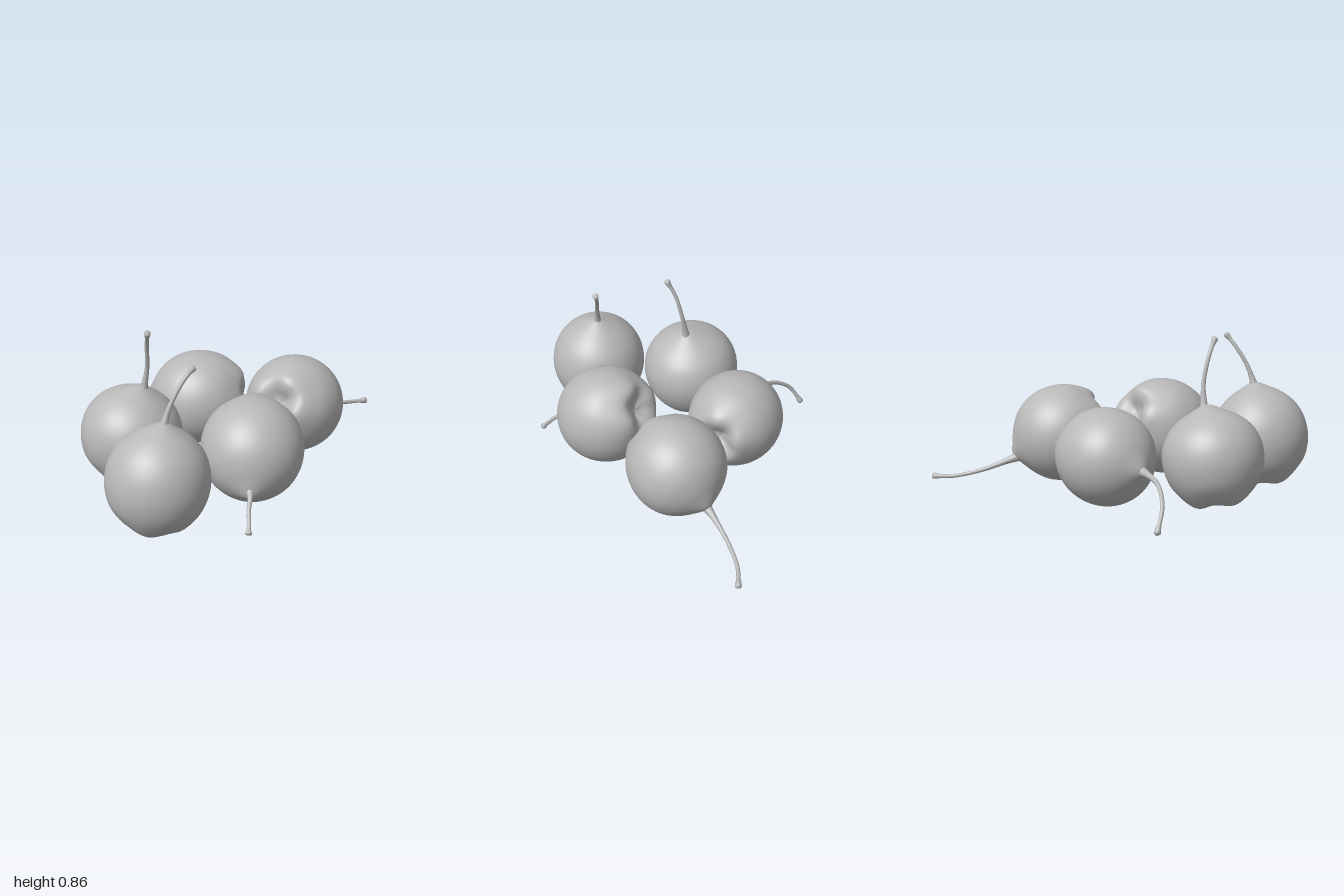
import * as THREE from 'three';
import { mergeVertices } from 'three/addons/utils/BufferGeometryUtils.js';

const V = (p) => new THREE.Vector3(...p);

// Body profile [radius, height] from the dimpled base to the stem end
const LOWER = [[0, -0.19], [0.035, -0.2], [0.08, -0.228], [0.125, -0.235], [0.17, -0.205], [0.225, -0.135], [0.253, -0.06]];
const UPPER = [[0.26, 0.015], [0.246, 0.095], [0.208, 0.17], [0.15, 0.227], [0.09, 0.264], [0.045, 0.288], [0.02, 0.3], [0, 0.303]];

// Each fruit: centre, axis towards its stem, girth, neck height factor, stem path
const FRUITS = [
  { name: 'frontRightFruit', centre: [-0.13, 0.245, 0.565], axis: [0.12, 1, -0.17], girth: 1.005, neck: 0.9,
    stem: [[-0.1, 0.44, 0.515], [-0.085, 0.53, 0.505], [-0.068, 0.62, 0.5], [-0.035, 0.75, 0.52], [0.012, 0.845, 0.545]] },
  { name: 'frontLeftFruit', centre: [0.37, 0.24, 0.742], axis: [0.01, 1, -0.14], girth: 0.99, neck: 1,
    stem: [[0.372, 0.48, 0.71], [0.374, 0.56, 0.69], [0.378, 0.64, 0.655], [0.385, 0.73, 0.595], [0.398, 0.797, 0.535]] },
  { name: 'leftFruit', centre: [0.405, 0.265, 0.195], axis: [0.68, -0.45, 0.57], girth: 1, neck: 1,
    stem: [[0.58, 0.18, 0.345], [0.635, 0.14, 0.385], [0.67, 0.105, 0.42], [0.705, 0.06, 0.445], [0.737, 0.012, 0.473]] },
  { name: 'backFruit', centre: [0.125, 0.265, -0.305], axis: [-0.4, -0.38, -0.83], girth: 0.99, neck: 0.95,
    stem: [[0.03, 0.16, -0.48], [-0.005, 0.128, -0.56], [-0.05, 0.075, -0.7], [-0.07, 0.035, -0.86], [-0.045, 0.02, -0.995]] },
  { name: 'rightFruit', centre: [-0.265, 0.252, 0.035], axis: [-0.6, -0.07, 0.78], girth: 0.965, neck: 0.97,
    stem: [[-0.4, 0.232, 0.225], [-0.455, 0.23, 0.285], [-0.55, 0.205, 0.365], [-0.665, 0.13, 0.41], [-0.745, 0.012, 0.4]] },
];

function bodyGeometry(girth, neck) {
  const pts = [...LOWER, ...UPPER.map(([r, y]) => [r, y * neck])].map(([r, y]) => new THREE.Vector2(r * girth, y));
  const profile = new THREE.SplineCurve(pts).getPoints(56);
  profile.forEach((p) => { p.x = Math.max(p.x, 0); });
  const geo = new THREE.LatheGeometry(profile, 64);
  // Soft lobes around the base
  const pos = geo.attributes.position;
  for (let i = 0; i < pos.count; i++) {
    const x = pos.getX(i), y = pos.getY(i), z = pos.getZ(i);
    const r = Math.hypot(x, z);
    const w = THREE.MathUtils.smoothstep(-y, 0.1, 0.23) * Math.min(1, r / 0.1);
    pos.setY(i, y + 0.008 * w * Math.cos(4 * Math.atan2(z, x)));
  }
  geo.deleteAttribute('normal');
  geo.deleteAttribute('uv');
  const merged = mergeVertices(geo, 1e-5);
  merged.computeVertexNormals();
  return merged;
}

// Stem flares into the body, thins, and ends in a small closed knob
function stemRadius(t) {
  if (t > 0.999) return 0;
  const flare = 0.034 * Math.exp(-t * 8);
  const knob = 0.006 * THREE.MathUtils.smoothstep(t, 0.88, 0.96);
  return 0.0105 + flare + knob;
}

function stemGeometry(path) {
  const curve = new THREE.CatmullRomCurve3(path.map(V));
  const rings = 48, sides = 14;
  const geo = new THREE.TubeGeometry(curve, rings, 1, sides);
  const pos = geo.attributes.position, v = new THREE.Vector3();
  for (let i = 0; i <= rings; i++) {
    const c = curve.getPointAt(i / rings);
    const r = stemRadius(i / rings);
    for (let j = 0; j <= sides; j++) {
      const k = i * (sides + 1) + j;
      v.fromBufferAttribute(pos, k).sub(c).multiplyScalar(r).add(c);
      pos.setXYZ(k, v.x, v.y, v.z);
    }
  }
  geo.deleteAttribute('normal');
  geo.deleteAttribute('uv');
  const merged = mergeVertices(geo, 1e-5);
  merged.computeVertexNormals();
  return merged;
}

export function createModel() {
  const model = new THREE.Group();
  model.name = 'fruitPile';
  const grey = new THREE.MeshStandardMaterial({ color: 0xb8b8b8 });
  grey.name = 'plain grey';

  for (const f of FRUITS) {
    const fruit = new THREE.Group();
    fruit.name = f.name;

    const body = new THREE.Mesh(bodyGeometry(f.girth, f.neck), grey);
    body.name = 'body';
    body.position.copy(V(f.centre));
    body.quaternion.setFromUnitVectors(new THREE.Vector3(0, 1, 0), V(f.axis).normalize());

    const stem = new THREE.Mesh(stemGeometry(f.stem), grey);
    stem.name = 'stem';

    fruit.add(body, stem);
    model.add(fruit);
  }
  return model;
}
